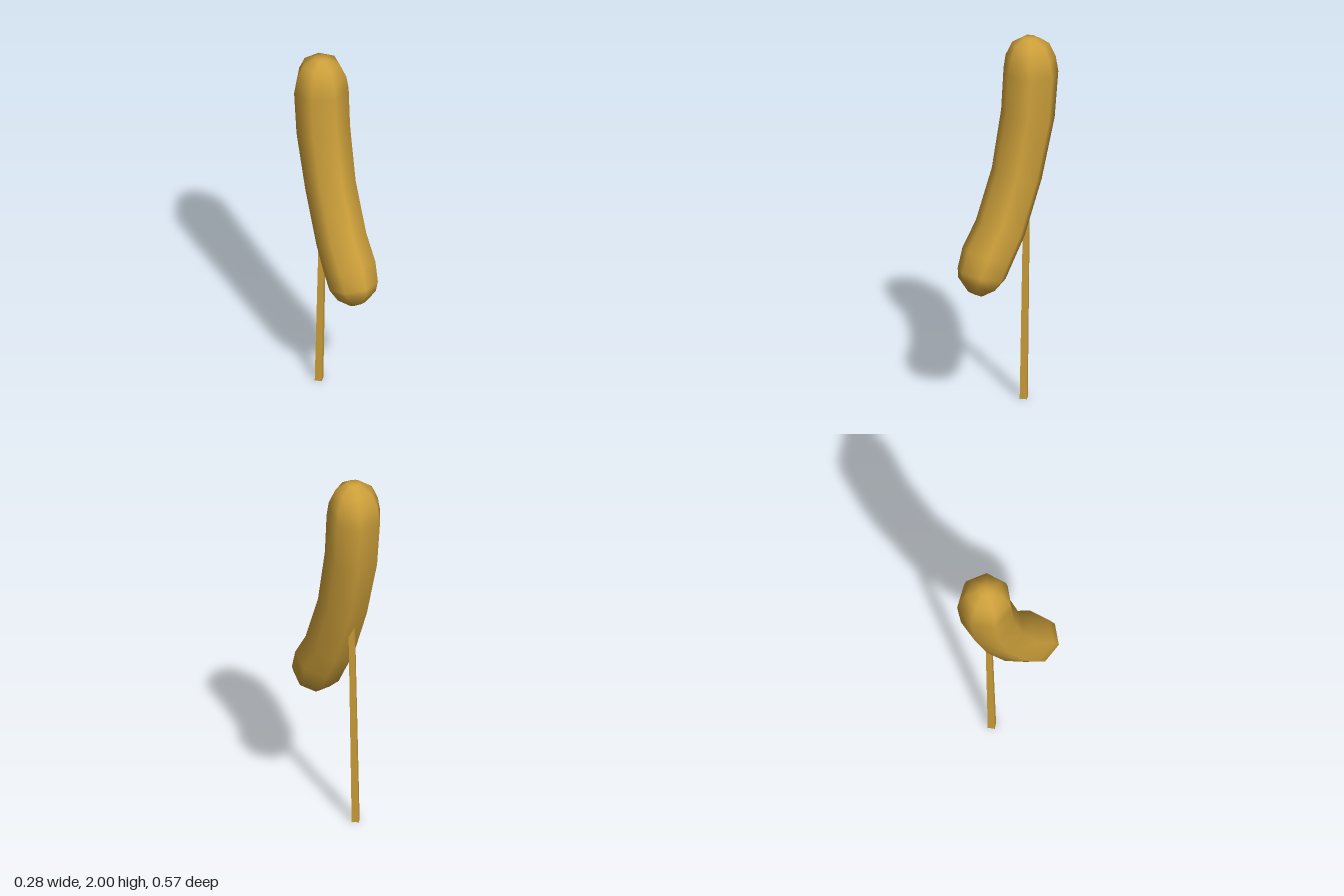
import * as THREE from 'three';

const SIDES = 7;

// Ring profile, top to bottom: front z, front y, back z, back y
const RINGS = [
  [-0.11, 2.0, -0.18, 2.0],
  [-0.055, 1.965, -0.24, 1.96],
  [-0.02, 1.89, -0.27, 1.885],
  [-0.01, 1.82, -0.283, 1.8],
  [0.005, 1.6, -0.26, 1.55],
  [0.065, 1.3, -0.18, 1.23],
  [0.165, 1.04, -0.07, 0.94],
  [0.25, 0.91, 0.005, 0.815],
  [0.285, 0.8, 0.05, 0.73],
  [0.285, 0.76, 0.11, 0.675],
  [0.24, 0.685, 0.17, 0.65],
];

// Seven-sided rings swept along the bent body, with rounded closed ends
function sausageGeometry() {
  const positions = [];
  const index = [];
  const backReach = Math.cos(Math.PI / SIDES); // flat at the back, corner at the front
  const centres = RINGS.map(([fz, fy, bz, by]) => {
    const front = new THREE.Vector3(0, fy, fz);
    const back = new THREE.Vector3(0, by, bz);
    const radius = front.distanceTo(back) / (1 + backReach);
    const out = front.clone().sub(back).normalize();
    const centre = front.clone().addScaledVector(out, -radius);
    for (let j = 0; j < SIDES; j++) {
      const a = (j / SIDES) * Math.PI * 2;
      const p = centre.clone().addScaledVector(out, radius * Math.cos(a));
      positions.push(radius * Math.sin(a), p.y, p.z);
    }
    return centre;
  });
  const last = RINGS.length - 1;
  const top = positions.length / 3;
  const bottom = top + 1;
  positions.push(...centres[0].toArray(), ...centres[last].toArray());

  for (let j = 0; j < SIDES; j++) {
    const k = (j + 1) % SIDES;
    index.push(top, j, k, bottom, last * SIDES + k, last * SIDES + j);
    for (let i = 0; i < last; i++) {
      const a = i * SIDES + j, d = i * SIDES + k;
      index.push(a, a + SIDES, d + SIDES, a, d + SIDES, d);
    }
  }
  const geometry = new THREE.BufferGeometry();
  geometry.setAttribute('position', new THREE.Float32BufferAttribute(positions, 3));
  geometry.setIndex(index);
  geometry.computeVertexNormals();
  return geometry;
}

export function createModel() {
  const group = new THREE.Group();
  group.name = 'sausageOnStick';

  const sausage = new THREE.Mesh(
    sausageGeometry(),
    new THREE.MeshStandardMaterial({ color: 0xcc9f3a })
  );
  sausage.name = 'sausage';
  group.add(sausage);

  // Square stick, corners on the axes, leaning slightly and ending inside the body
  const height = 1.25;
  const stickGeometry = new THREE.CylinderGeometry(0.021, 0.026, height, 4);
  const pos = stickGeometry.attributes.position;
  for (let i = 0; i < pos.count; i++) {
    const y = pos.getY(i) + height / 2;
    pos.setXYZ(i, pos.getX(i) - 0.026 + 0.022 * y, y, pos.getZ(i) - 0.128);
  }
  const stick = new THREE.Mesh(
    stickGeometry,
    new THREE.MeshStandardMaterial({ color: 0xcc9f3a, flatShading: true })
  );
  stick.name = 'stick';
  group.add(stick);

  return group;
}
